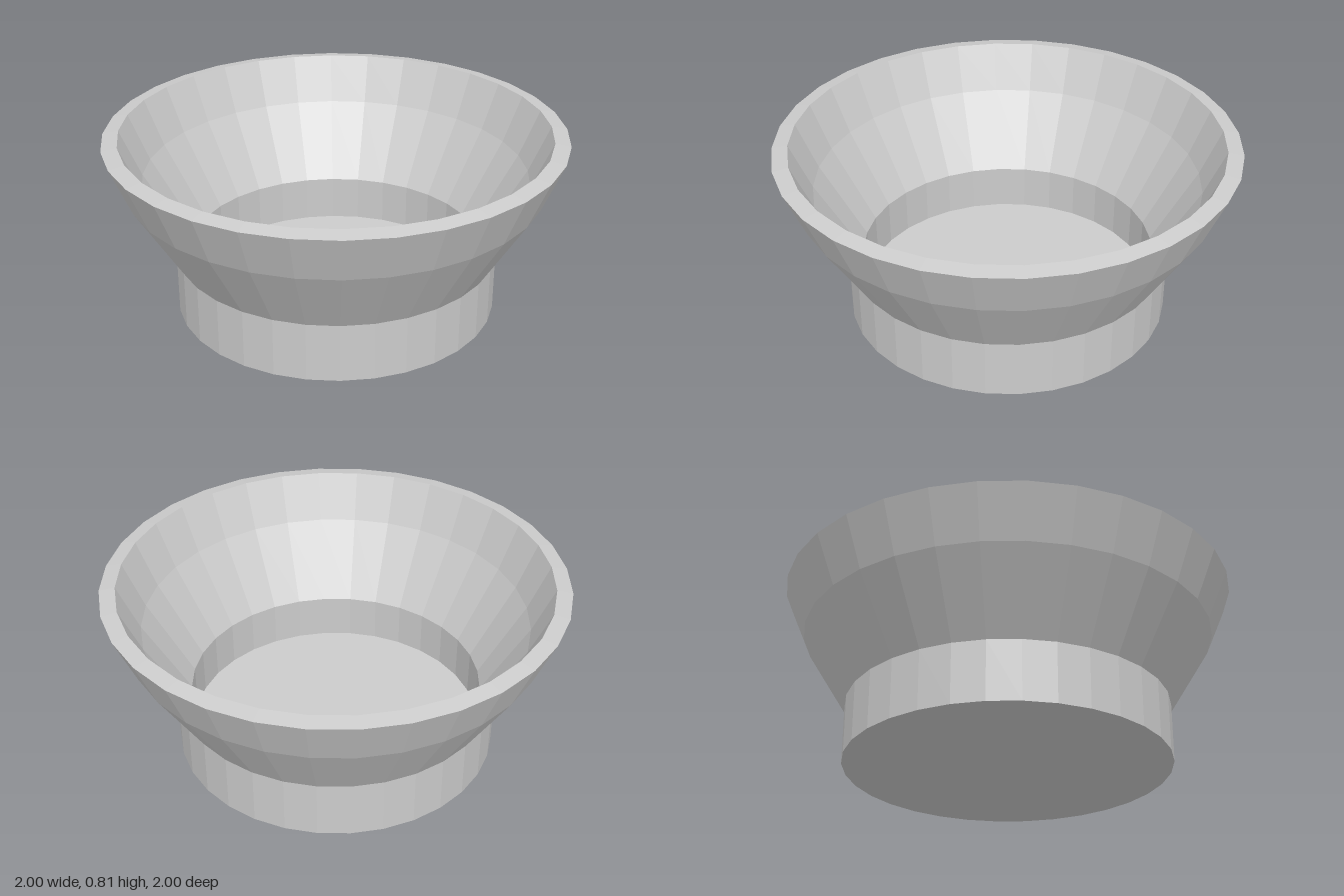
import * as THREE from 'three';

const SIDES = 32;

export function createModel() {
  const model = new THREE.Group();
  model.name = 'footedBowl';
  const material = new THREE.MeshStandardMaterial({ color: 0xcccccc, flatShading: true });

  // Turn a profile of [radius, height] points into a faceted ring of surface
  const turn = (name, profile) => {
    const points = profile.map(([r, y]) => new THREE.Vector2(r, y));
    const mesh = new THREE.Mesh(new THREE.LatheGeometry(points, SIDES), material);
    mesh.name = name;
    model.add(mesh);
  };

  // Closed underside and straight foot
  turn('foot', [[0, 0], [0.713, 0], [0.713, 0.262]]);

  // Two flared bands outside
  turn('outerWall', [[0.713, 0.262], [0.91, 0.585], [1, 0.8]]);

  // Narrow rim, rising slightly inwards
  turn('rim', [[1, 0.8], [0.932, 0.812]]);

  // Flared inside, running down into the round well
  turn('innerWall', [[0.932, 0.812], [0.842, 0.605], [0.645, 0.27]]);
  turn('well', [[0.645, 0.27], [0.645, 0.065], [0, 0.065]]);

  return model;
}
